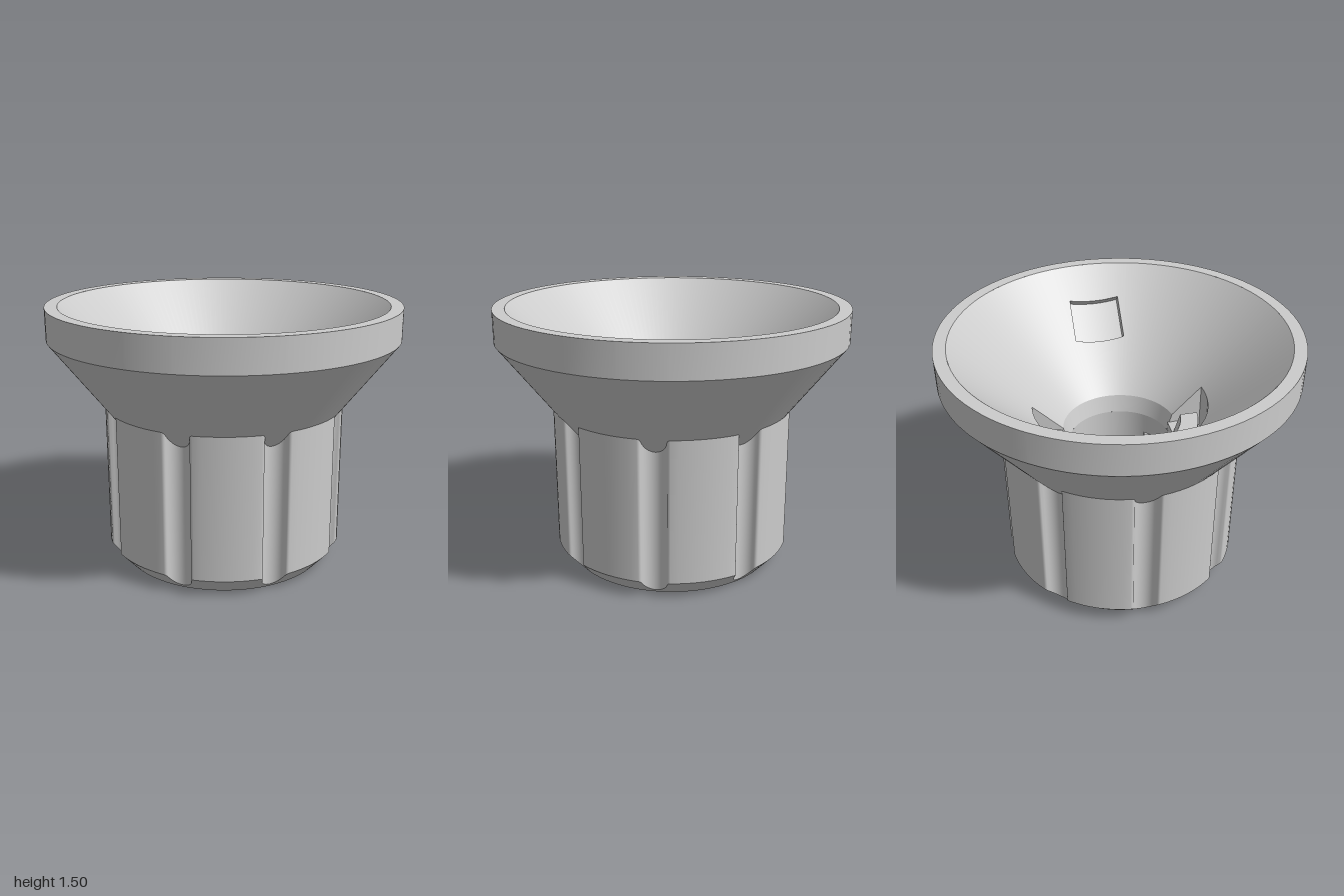
import * as THREE from 'three';
import { toCreasedNormals } from 'three/addons/utils/BufferGeometryUtils.js';

const { PI, cos, sin, hypot, atan2, acos, abs, min, max } = Math;
const solid = new THREE.MeshStandardMaterial({ color: 0xcccccc });
const thin = new THREE.MeshStandardMaterial({ color: 0xcccccc, side: THREE.DoubleSide });

const FLOOR = 0.8;                        // bottom of the slot and gutter
const coneY = (r) => r + 0.57;            // inner bowl slope
const polar = (r, a, y) => [r * cos(a), y, -r * sin(a)];
const range = (n, a, b) => Array.from({ length: n + 1 }, (_, i) => a + (b - a) * i / n);

// Skins neighbouring columns of points, leaving out empty triangles
function skin(columns, out = []) {
  const v = (p) => new THREE.Vector3(...p);
  const tri = (a, b, c) => {
    const n = v(b).sub(v(a)).cross(v(c).sub(v(a)));
    if (n.length() > 1e-9) out.push(...a, ...b, ...c);
  };
  for (let i = 0; i + 1 < columns.length; i++) {
    const p = columns[i], q = columns[i + 1];
    for (let j = 0; j + 1 < p.length; j++) {
      tri(p[j], q[j], q[j + 1]);
      tri(p[j], q[j + 1], p[j + 1]);
    }
  }
  return out;
}

function mesh(name, points, material = solid) {
  let geo = points;
  if (Array.isArray(points)) {
    geo = new THREE.BufferGeometry();
    geo.setAttribute('position', new THREE.Float32BufferAttribute(points, 3));
    geo = toCreasedNormals(geo, 0.5);
  }
  const m = new THREE.Mesh(geo, material);
  m.name = name;
  return m;
}

// Fluted grip, flared head and rim as one outer skin
function outerShell() {
  const R = 0.69, flute = 0.07, fillet = 0.02;
  const side = Math.sqrt((flute + fillet) ** 2 - fillet ** 2);
  const aMax = atan2(side, fillet);
  const half = [
    ...range(7, 0, aMax).map((a) => [flute * sin(a), flute * cos(a)]),
    ...range(4, aMax, 0).slice(1).map((b) => [side - fillet * sin(b), fillet * (1 - cos(b))]),
  ].map(([w, d]) => {
    const h = Math.sqrt(R * R - w * w) - d;
    return [atan2(w, h), hypot(w, h)];
  });
  const edge = half[half.length - 1][0];
  const land = range(8, edge, PI / 4 - edge).slice(1, -1).map((a) => [a, R]);
  const mirrored = half.slice(1).reverse().map(([a, r]) => [PI / 4 - a, r]);
  const sector = [...half, ...land, ...mirrored];
  const columns = [];
  for (let k = 0; k < 8; k++) {
    for (const [a, r] of sector) columns.push([a + k * PI / 4, r]);
  }
  columns.push([2 * PI, half[0][1]]);
  return skin(columns.map(([a, r]) => [
    [0, 0], [0.6, 0],
    [r, 0.1 * (r - 0.6) / 0.09],
    [r, 0.92 - (R - r) * 0.4 / 0.31],
    [1, 1.32], [1, 1.5], [0.93, 1.5],
  ].map(([rr, y]) => polar(rr, a, y))));
}

// Pocket outline in plan
const P = { inner: 0.575, outer: 0.76, half: 0.15, sink: 0.04 };

// Half-round recess on the -x side, round mouth on the other
function mouth(a) {
  const c = cos(a);
  return c <= 0 ? 0.5 : min(0.5, max(0.33, 0.05 / c));
}

function bowl() {
  const pocketEnd = atan2(P.half, P.inner), corner = atan2(P.half, P.outer);
  const special = [pocketEnd, corner, acos(0.1), acos(0.05 / 0.33), acos(0.125), acos(0.11)];
  const angles = [...range(144, -PI, PI), ...special, ...special.map((a) => -a)].sort((a, b) => a - b);
  const cone = [], walls = [];
  for (let i = 0; i + 1 < angles.length; i++) {
    const pair = [angles[i], angles[i + 1]];
    const strip = (from, to) => skin(pair.map((a) =>
      [from(a), to(a)].map((r) => polar(r, a, coneY(r)))), cone);
    if (abs(pair[0] + pair[1]) / 2 < pocketEnd) {
      strip(() => 0.93, (a) => min(P.outer / cos(a), P.half / max(1e-6, abs(sin(a)))));
      strip((a) => P.inner / cos(a), mouth);
    } else strip(() => 0.93, mouth);
    // walls, recess floor and lead-in to the bore
    skin(pair.map((a) => {
      const r = mouth(a), low = r > 0.3301 ? r : 0.3;
      return [polar(r, a, coneY(r)), polar(low, a, FLOOR), polar(0.3, a, FLOOR)];
    }), walls);
  }
  return [mesh('bowl', cone), mesh('recess', walls)];
}

// Rectangular pocket sunk square to the bowl slope
function pocket() {
  const top = (x, z) => [x, coneY(hypot(x, z)), z];
  const low = (x, z) => [x + P.sink, coneY(hypot(x, z)) - P.sink, z];
  const out = skin(range(10, P.half, -P.half).map((z) =>
    [top(P.outer, z), low(P.outer, z), low(P.inner, z), top(P.inner, z)]));
  for (const z of [-P.half, P.half]) {
    skin(range(4, P.inner, P.outer).map((x) => [top(x, z), low(x, z)]), out);
  }
  return mesh('pocket', out, thin);
}

// Raised half ring with straight-cut ends
function halfRing() {
  const profile = [[0.45, FLOOR], [0.45, 0.965], [0.35, 0.965], [0.3, FLOOR]];
  const columns = range(48, 0, 1).map((t) => profile.map(([r, y]) => {
    const a = acos(-0.05 / r);
    return polar(r, a + t * 2 * (PI - a), y);
  }));
  const caps = [];
  for (const c of [columns[0], columns[48]]) skin([[c[0], c[1]], [c[3], c[2]]], caps);
  return [mesh('halfRing', skin(columns)), mesh('halfRingEnds', caps, thin)];
}

// Part of the bore floor beyond a straight chord
function ledge(z, y, base) {
  const a = Math.asin(z / 0.3);
  const shape = new THREE.Shape().absarc(0, 0, 0.3, a, PI - a, false);
  const geo = new THREE.ExtrudeGeometry(shape, { depth: y - base, bevelEnabled: false, curveSegments: 24 });
  geo.rotateX(PI / 2).translate(0, y, 0);
  return mesh('boreLedge', geo);
}

export function createModel() {
  const group = new THREE.Group();
  group.name = 'knob';
  group.add(mesh('outerShell', outerShell()), ...bowl(), pocket(), ...halfRing());

  // Blind bore with a flat on one side
  const base = 0.2;
  group.add(mesh('bore', skin(range(96, 0, 2 * PI).map((a) =>
    [polar(0.3, a, FLOOR), polar(0.3, a, base), [0, base, 0]]))));
  group.add(ledge(0.15, 0.62, base), ledge(0.2, 0.67, base));

  // Small ramp in the slot
  const ramp = new THREE.Shape([[0.3, 0], [0.44, 0], [0.4, 0.05], [0.3, 0.05]].map((p) => new THREE.Vector2(...p)));
  const rampGeo = new THREE.ExtrudeGeometry(ramp, { depth: 0.1, bevelEnabled: false });
  rampGeo.rotateY(-PI / 2).translate(0.05, FLOOR, 0);
  group.add(mesh('slotRamp', rampGeo));
  return group;
}
